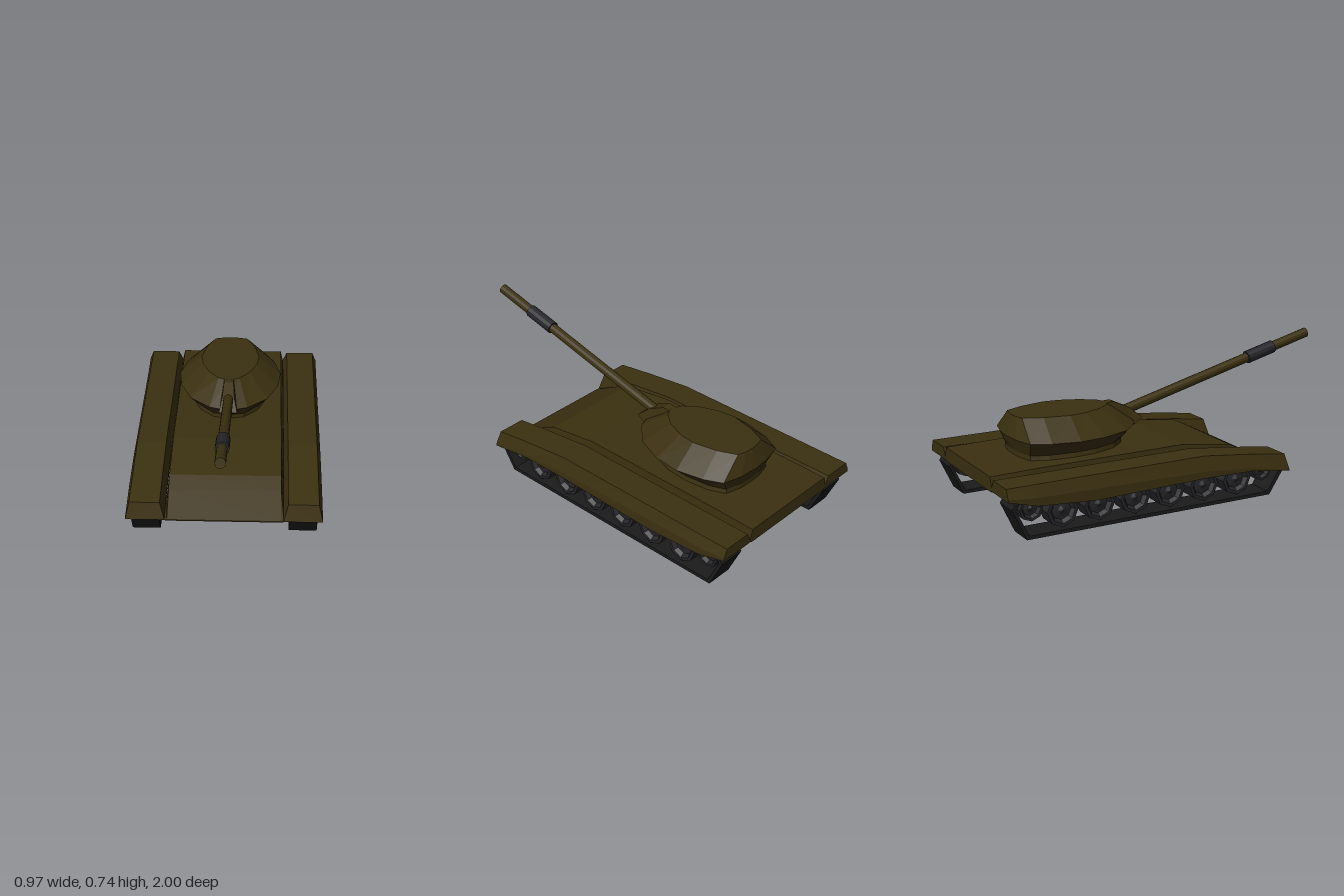
import * as THREE from 'three';

const paint = (name, color) => {
  const m = new THREE.MeshStandardMaterial({ color, flatShading: true });
  m.name = name;
  return m;
};

// Closed solid through rings of equal length; faces are turned outward by signed volume.
function loft(rings) {
  const n = rings[0].length, pts = rings.flat(), tris = [];
  for (let r = 0; r < rings.length - 1; r++) {
    for (let i = 0; i < n; i++) {
      const a = r * n + i, b = r * n + (i + 1) % n;
      tris.push([a, b, b + n], [a, b + n, a + n]);
    }
  }
  const last = (rings.length - 1) * n;
  for (let i = 1; i < n - 1; i++) tris.push([0, i + 1, i], [last, last + i, last + i + 1]);
  const v = pts.map((p) => new THREE.Vector3(...p));
  const centre = v.reduce((s, p) => s.add(p), new THREE.Vector3()).divideScalar(v.length);
  v.forEach((p) => p.sub(centre));
  let volume = 0;
  for (const [a, b, c] of tris) volume += v[a].dot(v[b].clone().cross(v[c]));
  const index = tris.flatMap(([a, b, c]) => (volume > 0 ? [a, b, c] : [a, c, b]));
  const g = new THREE.BufferGeometry();
  g.setAttribute('position', new THREE.Float32BufferAttribute(pts.flat(), 3));
  g.setIndex(index);
  const flat = g.toNonIndexed();
  flat.computeVertexNormals();
  return flat;
}

// Mirrors a half outline of [x, z] pairs (front to rear) into a full ring at height y.
const planRing = (half, y) => [
  ...half.map(([x, z]) => [x, y, z]),
  ...half.slice(1, -1).reverse().map(([x, z]) => [-x, y, z]),
];

export function createModel() {
  const olive = paint('olive armour', 0x3b3010);
  const rubber = paint('track black', 0x1b1b1b);
  const steel = paint('dark steel', 0x26262a);
  const tank = new THREE.Group();
  tank.name = 'tank';
  const add = (name, geometry, material, parent = tank) => {
    const mesh = new THREE.Mesh(geometry, material);
    mesh.name = name;
    parent.add(mesh);
    return mesh;
  };

  // Hull stations: z, bottom, widest and top heights
  const hullStations = [
    [0.56, 0.114, 0.117, 0.12], [0.41, 0.078, 0.12, 0.198], [0.33, 0.078, 0.125, 0.238],
    [0.04, 0.078, 0.13, 0.279], [-0.76, 0.078, 0.14, 0.277], [-1, 0.2, 0.21, 0.273],
  ];
  add('hull', loft(hullStations.map(([z, b, m, t]) => [
    [-0.28, b, z], [0.28, b, z], [0.295, m, z], [0.28, t, z], [-0.28, t, z], [-0.295, m, z],
  ])), olive);

  // Fender stations: z at base, z at top, bottom, crease and top heights
  const fenderStations = [
    [0.56, 0.54, 0.118, 0.125, 0.205], [0.33, 0.33, 0.15, 0.165, 0.234],
    [0.06, 0.06, 0.155, 0.19, 0.265], [-0.55, -0.55, 0.143, 0.2, 0.265],
    [-0.85, -0.85, 0.165, 0.205, 0.265], [-1, -1, 0.205, 0.218, 0.265],
  ];
  // Track belt outlines: outside, then inside
  const outer = [[0.535, 0.12], [0.455, 0], [-0.9, 0], [-0.972, 0.155], [-0.955, 0.18]];
  const inner = [[-0.935, 0.18], [-0.952, 0.152], [-0.888, 0.018], [0.444, 0.018], [0.51, 0.12]];
  const belt = new THREE.Shape([...outer, ...inner].map(([z, y]) => new THREE.Vector2(z, y)));
  // Wheel profile: rim, dished face and hub
  const wheelProfile = [[0, -0.05], [1, -0.05], [1, 0.05], [0.8, 0.05], [0.62, 0.03], [0.25, 0.035], [0, 0.05]];
  // Wheels: z, y, radius
  const wheels = [[0.417, 0.132, 0.056], [-0.868, 0.142, 0.06]];
  for (let i = 0; i < 6; i++) wheels.push([0.266 - i * 0.1945, 0.107, 0.081]);

  for (const s of [1, -1]) {
    const side = s > 0 ? 'left' : 'right';
    add(side + 'Fender', loft(fenderStations.map(([z, zt, b, m, t]) => [
      [s * 0.485, b, z], [s * 0.485, m, z], [s * 0.465, t, zt],
      [s * 0.315, t, zt], [s * 0.293, m, z], [s * 0.293, b, z],
    ])), olive);

    const runningGear = new THREE.Group();
    runningGear.name = side + 'RunningGear';
    tank.add(runningGear);
    const track = new THREE.ExtrudeGeometry(belt, { depth: 0.14, bevelEnabled: false });
    track.rotateY(-Math.PI / 2).translate(s * 0.39 + 0.07, 0, 0);
    add('track', track, rubber, runningGear);
    for (const [z, y, r] of wheels) {
      const profile = wheelProfile.map(([k, h]) => new THREE.Vector2(k * r, h));
      const wheel = new THREE.LatheGeometry(profile, 8);
      wheel.rotateZ(-s * Math.PI / 2).translate(s * 0.395, y, z);
      add(r > 0.07 ? 'roadWheel' : 'endWheel', wheel, steel, runningGear);
    }
  }

  // Turret: half outlines from front to rear
  const turret = new THREE.Group();
  turret.name = 'turret';
  tank.add(turret);
  const low = [[0, -0.18], [0.08, -0.2], [0.15, -0.28], [0.192, -0.4], [0.2, -0.52], [0.185, -0.65], [0.15, -0.735], [0.07, -0.757], [0, -0.76]];
  const wide = [[0, -0.095], [0.1, -0.13], [0.205, -0.23], [0.262, -0.38], [0.276, -0.52], [0.245, -0.66], [0.2, -0.755], [0.1, -0.782], [0, -0.79]];
  const roof = [[0, -0.24], [0.055, -0.265], [0.108, -0.335], [0.145, -0.43], [0.157, -0.52], [0.13, -0.65], [0.088, -0.745], [0.04, -0.757], [0, -0.76]];
  const ring = low.map(([x, z]) => [x * 1.04, z]);
  add('turretRing', loft([planRing(ring, 0.265), planRing(low, 0.302)]), olive, turret);
  add('turretShell', loft([planRing(low, 0.3), planRing(wide, 0.373), planRing(roof, 0.476)]), olive, turret);

  // Gun mantlet: half width, height and z along its outline
  const mantlet = [
    [0.05, 0.347, -0.11], [0.048, 0.38, -0.055], [0.032, 0.435, -0.12],
    [0.025, 0.478, -0.21], [0.025, 0.474, -0.27], [0.05, 0.35, -0.25],
  ];
  add('mantlet', loft([-1, 1].map((s) => mantlet.map(([x, y, z]) => [s * x, y, z]))), olive, turret);

  // Raised gun, built from lengths along its axis
  const start = new THREE.Vector3(0, 0.41, -0.17), end = new THREE.Vector3(0, 0.71, 0.993);
  const axis = end.clone().sub(start).normalize();
  const tube = (name, t0, t1, r, material) => {
    const a = start.clone().lerp(end, t0), b = start.clone().lerp(end, t1);
    const mesh = add(name, new THREE.CylinderGeometry(r, r, a.distanceTo(b), 12), material, turret);
    mesh.position.copy(a).lerp(b, 0.5);
    mesh.quaternion.setFromUnitVectors(new THREE.Vector3(0, 1, 0), axis);
  };
  tube('gunBarrel', 0, 1, 0.026, olive);
  tube('gunSleeve', 0.67, 0.812, 0.034, steel);
  return tank;
}
